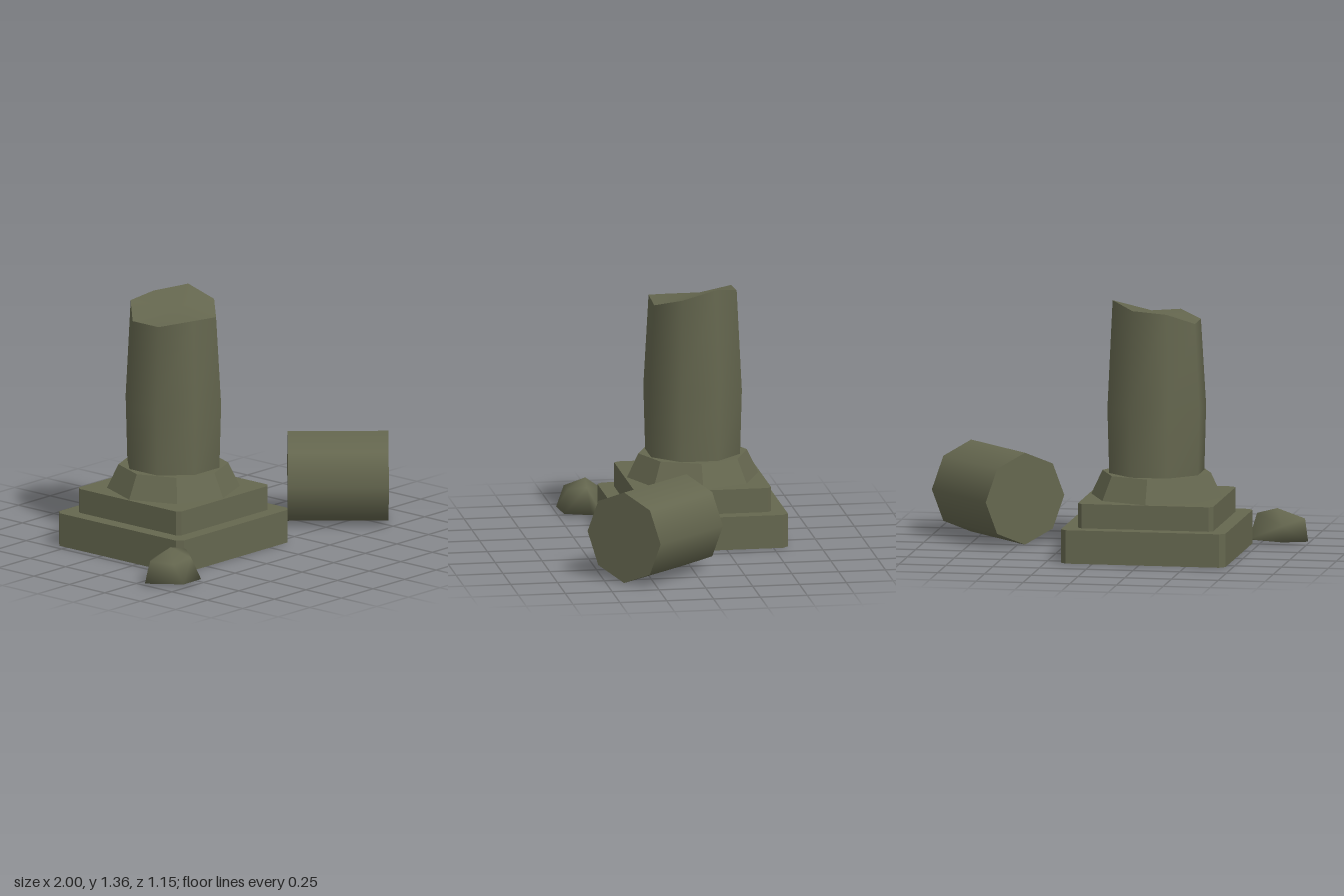
import * as THREE from 'three';
import { mergeVertices, toCreasedNormals } from 'three/addons/utils/BufferGeometryUtils.js';
import { ConvexGeometry } from 'three/addons/geometries/ConvexGeometry.js';

const stone = new THREE.MeshStandardMaterial({ color: 0x65674f });
stone.name = 'mossy stone';

function part(name, geometry, x = 0, y = 0, z = 0) {
  const mesh = new THREE.Mesh(geometry, stone);
  mesh.name = name;
  mesh.position.set(x, y, z);
  return mesh;
}

// Square slab with cut vertical corners, standing on y = 0
function slab(half, height, cut) {
  const a = half, b = half - cut;
  const corners = [[a, -b], [a, b], [b, a], [-b, a], [-a, b], [-a, -b], [-b, -a], [b, -a]];
  const shape = new THREE.Shape(corners.map(([x, y]) => new THREE.Vector2(x, y)));
  return new THREE.ExtrudeGeometry(shape, { depth: height, bevelEnabled: false }).rotateX(-Math.PI / 2);
}

// Eight-sided shaft, swelling in the middle, with an uneven broken top
function brokenShaft() {
  const bottom = 0.43, middle = 0.78;
  const topHeights = [1.255, 1.305, 1.355, 1.32, 1.305, 1.24, 1.24, 1.27];
  const average = topHeights.reduce((s, h) => s + h, 0) / 8;
  const perApothem = 1 / Math.cos(Math.PI / 8);
  const geo = new THREE.CylinderGeometry(1, 1, 2, 8, 2, false, Math.PI / 8);
  const pos = geo.attributes.position;
  for (let i = 0; i < pos.count; i++) {
    const x = pos.getX(i), z = pos.getZ(i), level = Math.round(pos.getY(i));
    const apothem = [0.237, 0.246, 0.22][level + 1];
    let y = level < 0 ? bottom : middle;
    if (level > 0) {
      const k = Math.round((Math.atan2(x, z) - Math.PI / 8) / (Math.PI / 4));
      y = Math.hypot(x, z) < 0.1 ? average : topHeights[(k + 8) % 8];
    }
    pos.setXYZ(i, x * apothem * perApothem, y, z * apothem * perApothem);
  }
  return toCreasedNormals(geo, 0.9);
}

// Smooth-shaded lump of rubble
function rubble() {
  const points = [
    [-1, 0.01, 0.31], [-0.98, 0.13, 0.33], [-0.875, 0.1, 0.235], [-0.87, 0.01, 0.26],
    [-0.69, 0.02, 0.28], [-0.68, 0.01, 0.33], [-0.735, 0.01, 0.47], [-0.89, 0.015, 0.485],
    [-0.83, 0.18, 0.34], [-0.72, 0.15, 0.35], [-0.92, 0.12, 0.44], [-0.78, 0.13, 0.44],
  ].map((p) => new THREE.Vector3(...p));
  const geo = new ConvexGeometry(points);
  geo.deleteAttribute('normal');
  const merged = mergeVertices(geo);
  merged.computeVertexNormals();
  return merged;
}

export function createModel() {
  const model = new THREE.Group();
  model.name = 'ruinedColumn';

  // Standing column
  const column = new THREE.Group();
  column.name = 'standingColumn';
  column.position.set(-0.27, 0, -0.14);
  const collar = new THREE.CylinderGeometry(0.29, 0.35, 0.127, 8).toNonIndexed();
  collar.computeVertexNormals();
  column.add(
    part('lowerPlinth', slab(0.44, 0.178, 0.03)),
    part('upperPlinth', slab(0.362, 0.13, 0.022), 0, 0.178, 0),
    part('collar', collar, 0, 0.3715, 0),
    part('shaft', brokenShaft()),
  );
  model.add(column);

  // Fallen drum lying on its side
  const drum = part('fallenDrum', new THREE.CylinderGeometry(0.245, 0.245, 0.53, 8).rotateX(Math.PI / 2), 0.64, 0.245, 0.21);
  drum.rotation.y = Math.atan2(0.355, 0.39);
  model.add(drum);

  model.add(part('rubble', rubble()));
  return model;
}
